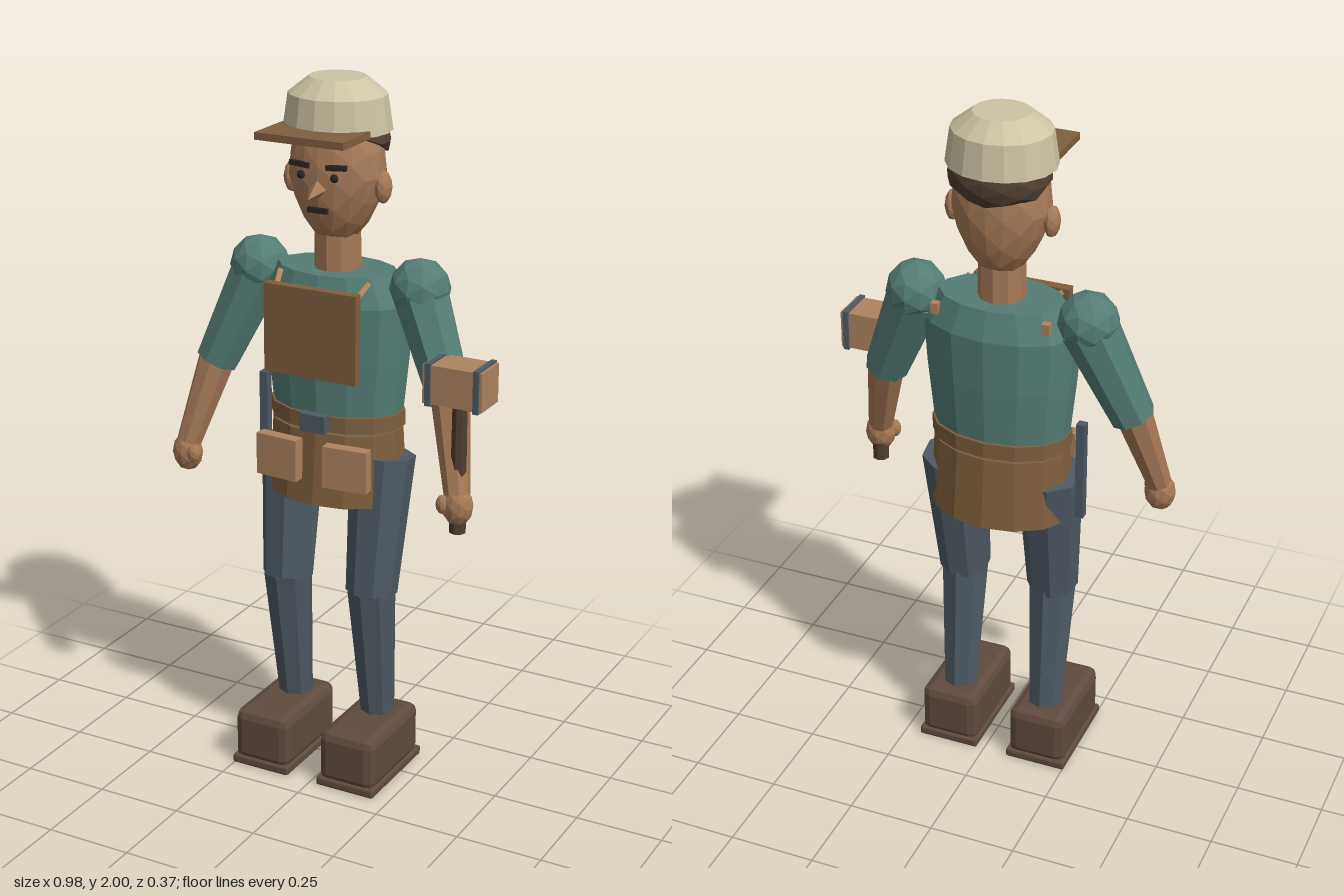
import * as THREE from 'three';
import { RoundedBoxGeometry } from 'three/addons/geometries/RoundedBoxGeometry.js';

const mat = (name, color) => {
  const m = new THREE.MeshStandardMaterial({ color });
  m.name = name;
  return m;
};

// Gives every face its own normal for a faceted look
function flat(geo) {
  const g = geo.index ? geo.toNonIndexed() : geo;
  g.computeVertexNormals();
  return g;
}

// Moves every vertex by a rule
function bend(geo, rule) {
  const p = geo.attributes.position;
  const v = new THREE.Vector3();
  for (let i = 0; i < p.count; i++) {
    v.fromBufferAttribute(p, i);
    rule(v);
    p.setXYZ(i, v.x, v.y, v.z);
  }
  return geo;
}

// Stacked oval cross-sections, listed from the top down as [y, rx, rz]
function ovals(rings, sides) {
  const last = rings.length - 1;
  return bend(new THREE.CylinderGeometry(1, 1, 1, sides, last), (v) => {
    const [y, rx, rz] = rings[Math.round((0.5 - v.y) * last)];
    v.set(v.x * rx, y, v.z * rz);
  });
}

const ball = (rx, ry, rz, detail = 1) => new THREE.IcosahedronGeometry(1, detail).scale(rx, ry, rz);
const box = (w, h, d) => new THREE.BoxGeometry(w, h, d);

// Tapered rod between two points
function limb(a, b, ra, rb, sides = 8) {
  const from = new THREE.Vector3(...a), to = new THREE.Vector3(...b);
  const dir = to.clone().sub(from);
  const g = new THREE.CylinderGeometry(rb, ra, dir.length(), sides);
  g.applyQuaternion(new THREE.Quaternion().setFromUnitVectors(new THREE.Vector3(0, 1, 0), dir.normalize()));
  const mid = from.add(to).multiplyScalar(0.5);
  return g.translate(mid.x, mid.y, mid.z);
}

export function createModel() {
  const shirt = mat('shirt teal', 0x557d76);
  const skin = mat('skin', 0xa67a57);
  const cream = mat('cap cream', 0xcdc4a5);
  const slate = mat('slate', 0x4e5a64);
  const boot = mat('boot brown', 0x604b3f);
  const apron = mat('apron brown', 0x7f5f3e);
  const hairBrown = mat('dark brown', 0x4f3d31);
  const dark = mat('dark', 0x2a2624);
  const leather = mat('light leather', 0xad835e);

  const model = new THREE.Group();
  model.name = 'craftsman';
  const body = new THREE.Group();
  body.name = 'body';
  body.position.x = -0.025;
  model.add(body);

  const add = (name, geo, material, x = 0, y = 0, z = 0) => {
    const m = new THREE.Mesh(flat(geo), material);
    m.name = name;
    m.position.set(x, y, z);
    body.add(m);
    return m;
  };
  const Z = -0.035; // depth of the body axis

  // Torso and neck
  add('torso', ovals([[1.48, 0.175, 0.11], [1.4, 0.222, 0.135], [1.25, 0.212, 0.132], [1.04, 0.19, 0.122]], 14), shirt, 0, 0, Z);
  add('neck', new THREE.CylinderGeometry(0.063, 0.066, 0.16, 10), skin, 0, 1.53, Z);

  // Head: tapered towards a blunt chin, flattened face
  add('head', bend(ball(1, 1, 1, 2), (v) => {
    const taper = v.y < 0 ? 1 + 0.25 * v.y : 1;
    v.set(v.x * 0.136 * taper, Math.max(1.56, 1.74 + v.y * 0.2), Math.min(0.08, Z + v.z * 0.118));
  }), skin);
  add('hair', bend(ball(0.14, 0.1, 0.118, 2), (v) => {
    v.set(v.x, v.y + 1.83, v.z - 0.05);
    v.y = Math.max(v.y, 1.775 + (v.z + 0.15) * 0.45);
  }), hairBrown);
  const nose = new THREE.ConeGeometry(0.03, 0.06, 4).rotateX(Math.PI / 2);
  add('nose', bend(nose, (v) => { if (v.z > 0) v.y -= 0.02; }), skin, 0, 1.72, 0.1);
  add('mouth', box(0.058, 0.014, 0.012), dark, 0, 1.66, 0.077);

  // Cap
  add('cap', ovals([[2, 0.078, 0.074], [1.955, 0.136, 0.124], [1.86, 0.15, 0.137]], 16), cream, 0, 0, Z);
  add('capBrim', box(0.262, 0.02, 0.15), apron, 0, 1.867, 0.105);

  // Belt, apron skirt and bib
  add('belt', ovals([[1.09, 0.2, 0.133], [1.045, 0.2, 0.133]], 14), apron, 0, 0, Z);
  add('buckle', box(0.078, 0.05, 0.03), slate, 0, 1.07, 0.1);
  add('apronSkirt', ovals([[1.037, 0.195, 0.13], [0.83, 0.205, 0.15]], 14), apron, 0, 0, Z);
  add('bib', box(0.28, 0.25, 0.028), apron, 0, 1.33, 0.113);

  // Folding rule hanging at the hip
  add('hipTool', box(0.025, 0.295, 0.025), slate, -0.235, 0.99, -0.04);

  for (const s of [-1, 1]) {
    const side = s > 0 ? 'left' : 'right';
    const put = (name, geo, material, x = 0, y = 0, z = 0) => add(side + name, geo, material, s * x, y, z);

    // Face details
    put('Ear', ball(0.022, 0.045, 0.032), skin, 0.138, 1.715, -0.033);
    put('Eye', ball(0.012, 0.012, 0.008), dark, 0.05, 1.752, 0.078);
    const brow = put('Brow', box(0.06, 0.014, 0.012), dark, 0.055, 1.78, 0.075);
    brow.rotation.z = s * 0.08;

    // Apron strap ends and belt pouch
    put('StrapFront', limb([s * 0.12, 1.43, 0.1], [s * 0.135, 1.47, 0.045], 0.01, 0.01, 4), leather);
    put('StrapBack', box(0.022, 0.03, 0.022), leather, 0.158, 1.447, -0.115);
    const pouch = put('Pouch', box(0.13, 0.12, 0.035), leather, 0.105, 0.957, 0.11);
    pouch.rotation.y = s * 0.08;

    // Arm
    put('Shoulder', ball(0.084, 0.084, 0.084), shirt, 0.247, 1.45, -0.04);
    put('Sleeve', limb([s * 0.247, 1.44, -0.04], [s * 0.365, 1.165, 0.005], 0.08, 0.062), shirt);
    put('Forearm', limb([s * 0.36, 1.19, 0.0], [s * 0.422, 0.93, 0.075], 0.055, 0.036), skin);
    put('Hand', ball(0.045, 0.057, 0.038), skin, 0.425, 0.9, 0.078);
    put('Thumb', ball(0.02, 0.028, 0.018), skin, 0.392, 0.905, 0.1);

    // Leg
    put('Thigh', limb([s * 0.142, 0.96, -0.035], [s * 0.135, 0.56, 0.016], 0.092, 0.073), slate);
    put('Shin', limb([s * 0.135, 0.575, 0.016], [s * 0.135, 0.16, -0.028], 0.071, 0.05), slate);

    // Boot
    put('Boot', new RoundedBoxGeometry(0.174, 0.16, 0.3, 1, 0.026), boot, 0.138, 0.092, 0.032);
    put('Sole', new RoundedBoxGeometry(0.182, 0.026, 0.308, 1, 0.006), boot, 0.138, 0.013, 0.032);
  }

  // Mallet held in the left hand
  const mx = 0.422, my = 1.245, mz = 0.068;
  add('malletHandle', new THREE.CylinderGeometry(0.021, 0.024, 0.39, 8), hairBrown, mx, 1.015, mz);
  add('malletHead', box(0.172, 0.108, 0.104), leather, mx, my, mz);
  for (const s of [-1, 1]) add('malletBand', box(0.016, 0.118, 0.114), slate, mx + s * 0.07, my, mz);

  return model;
}
